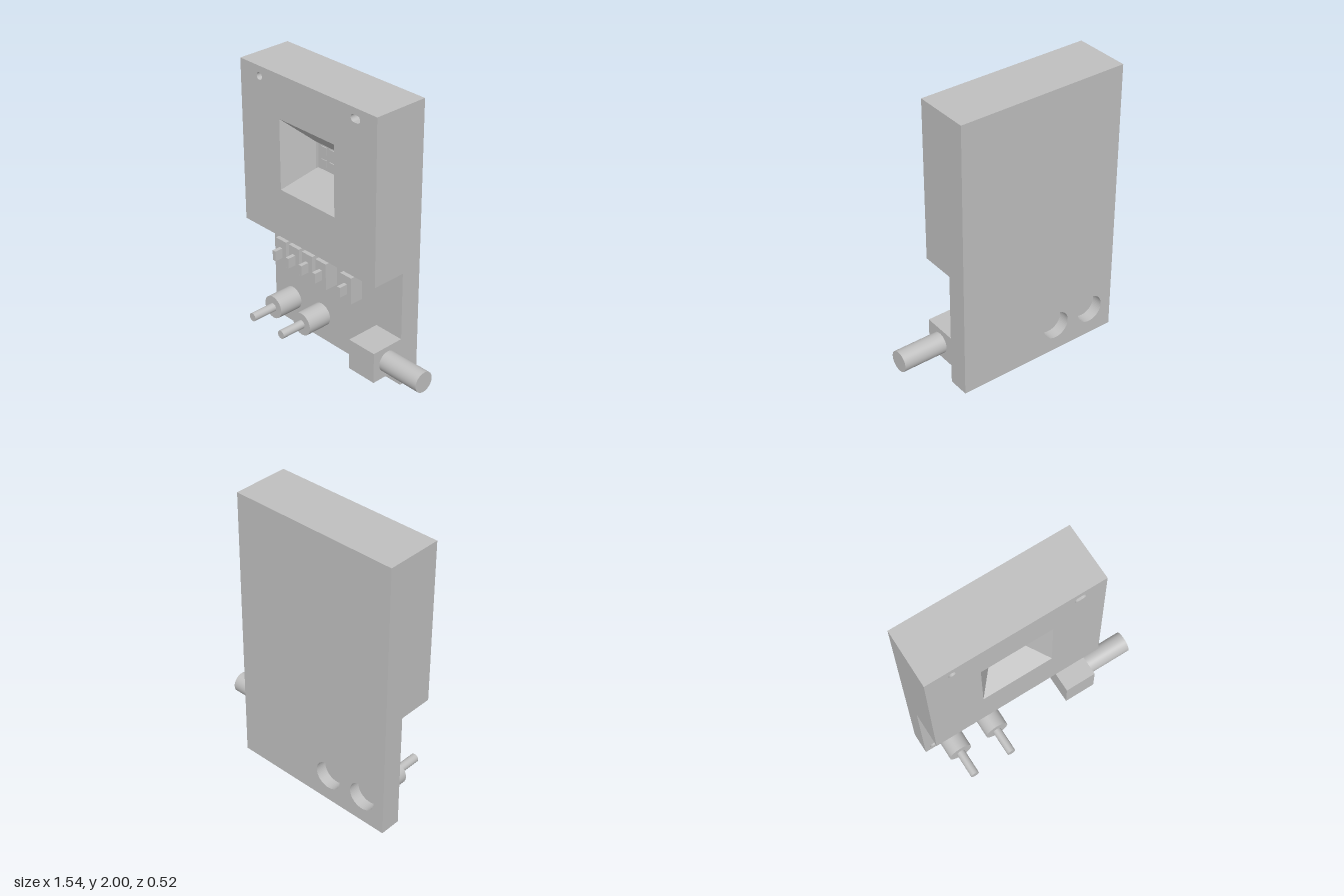
import * as THREE from 'three';

export function createModel() {
  const model = new THREE.Group();
  const grey = new THREE.MeshStandardMaterial({ color: 0xbfbfbf });
  grey.name = 'casing grey';

  const add = (name, geometry, x = 0, y = 0, z = 0) => {
    const mesh = new THREE.Mesh(geometry, grey);
    mesh.name = name;
    mesh.position.set(x, y, z);
    model.add(mesh);
    return mesh;
  };
  // box given by its limits
  const block = (name, x0, x1, y0, y1, z0, z1) =>
    add(name, new THREE.BoxGeometry(x1 - x0, y1 - y0, z1 - z0),
      (x0 + x1) / 2, (y0 + y1) / 2, (z0 + z1) / 2);
  // cylinder along z
  const rod = (name, r, x, y, z0, z1) => {
    const g = new THREE.CylinderGeometry(r, r, z1 - z0, 32).rotateX(Math.PI / 2);
    return add(name, g, x, y, (z0 + z1) / 2);
  };

  const outline = (C, x0, x1, y0, y1) => new C()
    .moveTo(x0, y0).lineTo(x1, y0).lineTo(x1, y1).lineTo(x0, y1).closePath();
  const rect = (C, ...limits) => {
    const path = new C();
    const [x0, x1, y0, y1] = limits;
    path.moveTo(x0, y0);
    path.lineTo(x1, y0);
    path.lineTo(x1, y1);
    path.lineTo(x0, y1);
    path.closePath();
    return path;
  };
  const circle = (x, y, r) => new THREE.Path().absarc(x, y, r, 0, Math.PI * 2, true);
  // one layer of the casing, between two depths
  const layer = (y0, y1, z0, z1, holes) => {
    const shape = rect(THREE.Shape, -0.77, 0.45, y0, y1);
    shape.holes.push(...holes);
    return new THREE.ExtrudeGeometry(shape, { depth: z1 - z0, bevelEnabled: false, curveSegments: 28 })
      .translate(0, 0, z0);
  };

  const knobs = [-0.59, -0.3];
  const screws = [-0.705, 0.385];

  // back plate: round recesses at the back, screw holes at the front
  add('backPlateRear', layer(0, 2, -0.26, -0.18, knobs.map((x) => circle(x, 0.2, 0.1))));
  add('backPlateMiddle', layer(0, 2, -0.18, -0.13, screws.map((x) => circle(x, 0.07, 0.018))));
  add('backPlateFront', layer(0, 2, -0.13, -0.11, screws.map((x) => circle(x, 0.07, 0.026))));

  // upper housing with the window pocket
  add('housingRear', layer(0.85, 2, -0.11, -0.05, []));
  add('housingPocket', layer(0.85, 2, -0.05, -0.03, [rect(THREE.Path, -0.255, -0.068, 1.355, 1.542)]));

  const slot = new THREE.Path();
  slot.absarc(0.285, 1.93, 0.025, Math.PI / 2, -Math.PI / 2, true);
  slot.absarc(0.255, 1.93, 0.025, -Math.PI / 2, -Math.PI * 1.5, true);
  slot.closePath();
  const front = layer(0.85, 2, -0.03, 0.135,
    [rect(THREE.Path, -0.41, 0.088, 1.2, 1.698), circle(-0.59, 1.93, 0.025), slot]);
  // the rear corners of the window move inward to form the funnel
  const p = front.attributes.position;
  const cx = -0.1615, cy = 1.449;
  for (let i = 0; i < p.count; i++) {
    const dx = p.getX(i) - cx, dy = p.getY(i) - cy;
    if (p.getZ(i) < 0 && Math.abs(dx) < 0.26 && Math.abs(dy) < 0.26) {
      p.setXY(i, cx + dx * 0.375, cy + dy * 0.375);
    }
  }
  front.computeVertexNormals();
  add('housingFront', front);

  // sensor cells at the bottom of the pocket
  for (const sx of [-1, 1]) for (const sy of [-1, 1]) {
    const x = cx + sx * 0.038, y = cy + sy * 0.045;
    block('sensorCell', x - 0.025, x + 0.025, y - 0.025, y + 0.025, -0.05, -0.044);
  }

  // row of slide switches
  for (const x of [-0.592, -0.462, -0.332, -0.2, 0.038]) {
    block('switchBody', x - 0.05, x + 0.05, 0.497, 0.695, -0.11, -0.01);
    block('switchLever', x - 0.014, x + 0.014, 0.56, 0.635, -0.01, 0.053);
  }

  // rotary controls
  for (const x of knobs) {
    rod('knobBase', 0.083, x, 0.198, -0.11, 0.075);
    rod('knobShaft', 0.03, x, 0.198, 0.075, 0.26);
  }

  // side socket and its plug
  block('socket', 0.225, 0.45, 0.137, 0.36, -0.11, 0.135);
  const plug = new THREE.CylinderGeometry(0.073, 0.073, 0.32, 40).rotateZ(Math.PI / 2);
  add('plug', plug, 0.61, 0.25, 0.012);

  return model;
}
